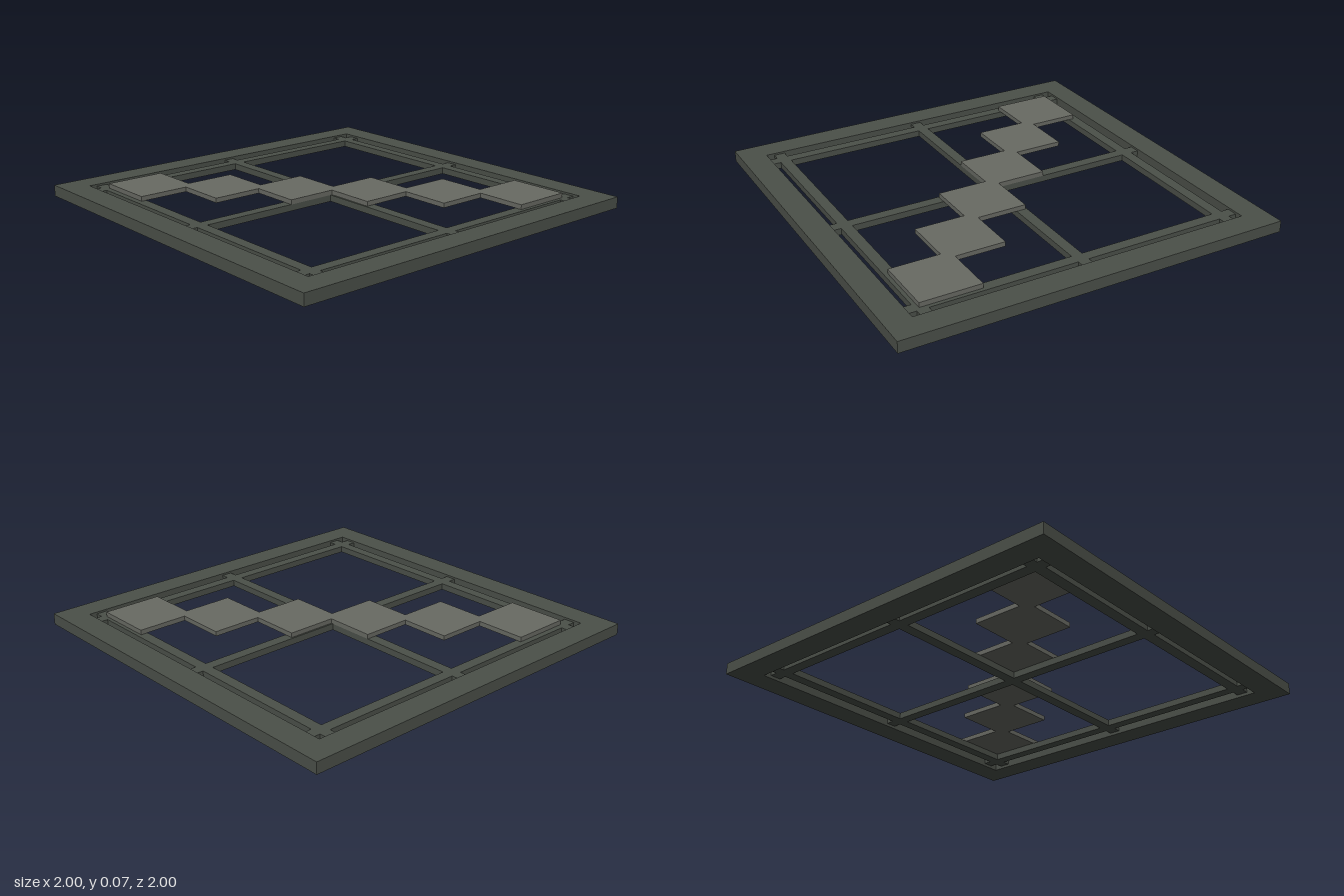
import * as THREE from 'three';

export function createModel() {
  const model = new THREE.Group();
  const darkMetal = new THREE.MeshStandardMaterial({ color: 0x4b5049 });
  const paleMetal = new THREE.MeshStandardMaterial({ color: 0x686a63 });

  const INNER = 0.87;      // half width of the opening
  const FRAME_TOP = 0.058;

  const addBox = (parent, name, size, position, material) => {
    const mesh = new THREE.Mesh(new THREE.BoxGeometry(...size), material);
    mesh.position.set(...position);
    mesh.name = name;
    parent.add(mesh);
  };

  // Square outer frame
  const square = (Type, h) => new Type([
    new THREE.Vector2(-h, -h), new THREE.Vector2(h, -h),
    new THREE.Vector2(h, h), new THREE.Vector2(-h, h),
  ]);
  const outline = square(THREE.Shape, 1);
  outline.holes.push(square(THREE.Path, INNER));
  const frameGeometry = new THREE.ExtrudeGeometry(outline, { depth: FRAME_TOP, bevelEnabled: false });
  frameGeometry.rotateX(-Math.PI / 2);
  const frame = new THREE.Mesh(frameGeometry, darkMetal);
  frame.name = 'outerFrame';
  model.add(frame);

  // Recessed lattice: three bars each way
  const lattice = new THREE.Group();
  lattice.name = 'lattice';
  model.add(lattice);
  const barWidth = 0.056, barBottom = 0.015, barTop = 0.048;
  const barHeight = barTop - barBottom, barY = (barTop + barBottom) / 2;
  for (const offset of [-0.8, 0, 0.8]) {
    addBox(lattice, 'crossBar', [2 * INNER, barHeight, barWidth], [0, barY, offset], darkMetal);
    addBox(lattice, 'lengthBar', [barWidth, barHeight, 2 * INNER], [offset, barY, 0], darkMetal);
  }

  // Diagonal row of overlapping square plates, front right to back left
  const plates = new THREE.Group();
  plates.name = 'diagonalPlates';
  model.add(plates);
  for (let i = 0; i < 6; i++) {
    const d = -0.645 + 0.26 * i;
    addBox(plates, 'plate', [0.308, 0.024, 0.308], [d, 0.06, -d], paleMetal);
  }

  return model;
}
